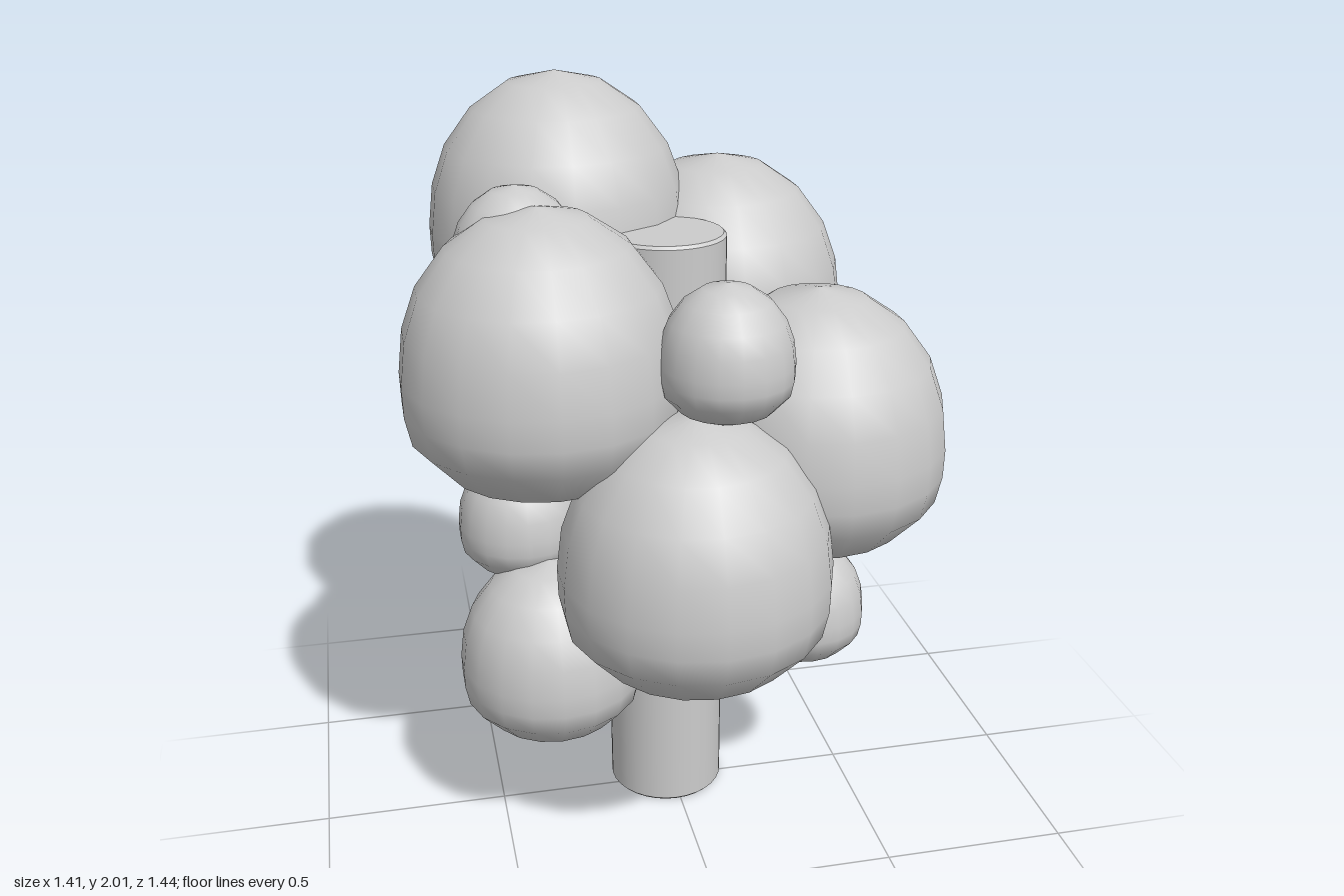
import * as THREE from 'three';

const material = new THREE.MeshStandardMaterial({ color: 0xcccccc });

// Turn a list of [radius, height] pairs into a lathe
function lathe(profile, segments) {
  return new THREE.LatheGeometry(profile.map(([r, y]) => new THREE.Vector2(r, y)), segments);
}

function addMesh(group, name, geometry, x, y, z) {
  const mesh = new THREE.Mesh(geometry, material);
  mesh.name = name;
  mesh.position.set(x, y, z);
  group.add(mesh);
  return mesh;
}

export function createModel() {
  const group = new THREE.Group();
  group.name = 'budStalk';

  // Upright stalk with slightly bevelled rims
  const R = 0.16, H = 1.645, B = 0.008;
  addMesh(group, 'stalk', new THREE.CylinderGeometry(R, R, H - 2 * B, 32, 1, true), -0.012, H / 2, -0.038);
  addMesh(group, 'stalkTop', new THREE.CylinderGeometry(R - B, R, B, 32), -0.012, H - B / 2, -0.038);
  addMesh(group, 'stalkBottom', new THREE.CylinderGeometry(R, R - B, B, 32), -0.012, B / 2, -0.038);

  // Bud of unit radius standing on y = 0: domed above, fuller and flatter below
  const bud = lathe([
    [0, 0], [0.37, 0.04], [0.7, 0.18], [0.95, 0.45], [0.995, 0.66], [1, 0.88],
    [0.96, 1.2], [0.85, 1.5], [0.64, 1.78], [0.36, 1.97], [0, 2.05],
  ], 18);

  // Buds around the stalk: x, underside height, z, radius
  const buds = {
    large: [
      [-0.02, 0.585, 0.37, 0.348],
      [-0.36, 1.04, 0.13, 0.355],
      [0.36, 0.8, 0.11, 0.35],
      [-0.24, 1.285, -0.365, 0.352],
      [0.205, 1.045, -0.365, 0.353],
    ],
    medium: [
      [-0.36, 0.315, 0.115, 0.245],
      [0.24, 0.53, -0.33, 0.248],
      [-0.23, 0.655, -0.38, 0.247],
    ],
    small: [
      [0.06, 1.27, 0.34, 0.168],
      [-0.4, 1.46, 0.03, 0.165],
      [-0.41, 0.72, -0.04, 0.17],
      [0.335, 0.47, 0.14, 0.17],
      [-0.07, 0.375, -0.435, 0.172],
      [-0.36, 0.325, -0.215, 0.132],
    ],
  };
  for (const [size, list] of Object.entries(buds)) {
    list.forEach(([x, y, z, r], i) => {
      addMesh(group, `${size}Bud${i + 1}`, bud, x, y, z).scale.setScalar(r);
    });
  }
  return group;
}
